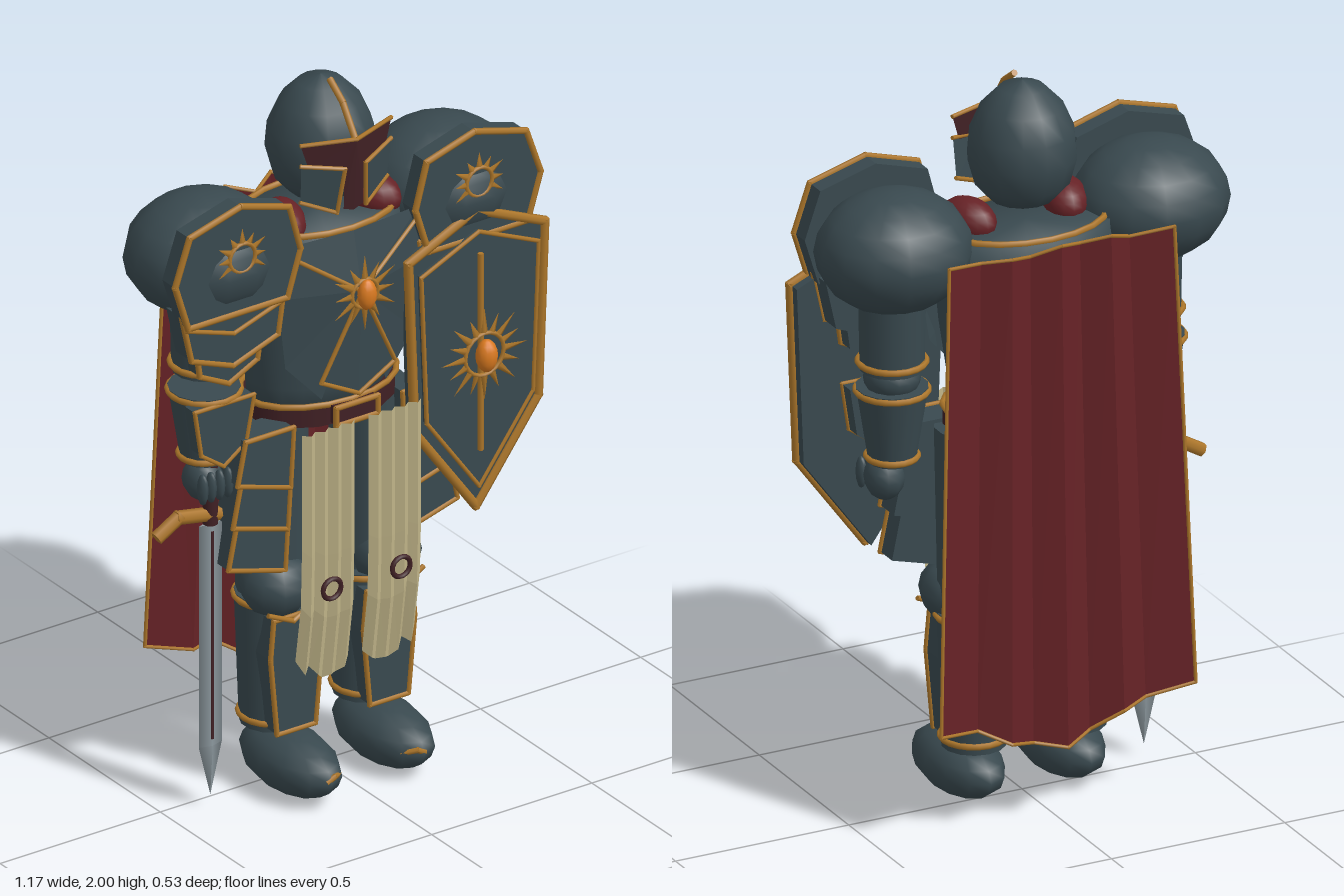
import * as THREE from 'three';

const mat = (name, color, side = THREE.FrontSide) => {
  const m = new THREE.MeshStandardMaterial({ color, side });
  m.name = name;
  return m;
};

export function createModel() {
  const armor = mat('dark armor', 0x39494f, THREE.DoubleSide);
  const gold = mat('gold trim', 0xac762a);
  const amber = mat('amber gem', 0xd9791f);
  const red = mat('red cloth', 0x662226, THREE.DoubleSide);
  const maroon = mat('dark leather', 0x402024, THREE.DoubleSide);
  const cream = mat('cream cloth', 0xc2b68a, THREE.DoubleSide);
  const steel = mat('steel', 0x8d999f);

  const model = new THREE.Group();
  model.name = 'knight';
  const V = (x, y, z) => new THREE.Vector3(x, y, z);

  function add(name, geo, m, p = [0, 0, 0], s = [1, 1, 1], parent = model) {
    const mesh = new THREE.Mesh(geo, m);
    mesh.name = name;
    mesh.position.set(...p);
    mesh.scale.set(...s);
    parent.add(mesh);
    return mesh;
  }
  const ball = (name, m, p, s, w = 14, h = 10) => add(name, new THREE.SphereGeometry(1, w, h), m, p, s);
  const tube = (name, m, p, rTop, rBot, y0, y1, sz = 1) =>
    add(name, new THREE.CylinderGeometry(rTop, rBot, y1 - y0, 14), m, [p[0], (y0 + y1) / 2, p[1]], [1, 1, sz]);
  function hoop(name, p, r, sz = 1, t = 0.009) {
    const g = new THREE.TorusGeometry(r, t, 6, 20);
    g.rotateX(Math.PI / 2);
    return add(name, g, gold, p, [1, 1, sz]);
  }
  // Rod chain through 3D points
  function trim(name, pts, r = 0.008, closed = false, m = gold) {
    const g = new THREE.Group();
    g.name = name;
    const n = closed ? pts.length : pts.length - 1;
    for (let i = 0; i < n; i++) {
      const a = V(...pts[i]), b = V(...pts[(i + 1) % pts.length]);
      const d = b.clone().sub(a);
      const rod = add('rod', new THREE.CylinderGeometry(r, r, d.length() + r, 6), m, a.clone().add(b).multiplyScalar(0.5).toArray(), [1, 1, 1], g);
      rod.quaternion.setFromUnitVectors(V(0, 1, 0), d.normalize());
    }
    model.add(g);
  }
  // Slab with a gold edge on its front
  function plate(name, pts, z0, z1, r = 0.008, m = armor) {
    const shape = new THREE.Shape(pts.map(p => new THREE.Vector2(...p)));
    add(name, new THREE.ExtrudeGeometry(shape, { depth: z1 - z0, bevelEnabled: false }), m, [0, 0, z0]);
    if (r) trim(name + ' trim', pts.map(p => [p[0], p[1], z1]), r, true);
  }
  // Flat fan facet
  function facet(name, pts, m) {
    const v = [];
    for (let i = 1; i < pts.length - 1; i++) v.push(...pts[0], ...pts[i], ...pts[i + 1]);
    const g = new THREE.BufferGeometry();
    g.setAttribute('position', new THREE.Float32BufferAttribute(v, 3));
    g.computeVertexNormals();
    add(name, g, m);
  }
  // Pleated cloth: point(i, t) for column i and height fraction t
  function cloth(name, cols, rows, point, m) {
    const v = [];
    for (let i = 0; i < cols; i++) for (let j = 0; j < rows; j++) {
      const a = point(i, j / rows), b = point(i + 1, j / rows);
      const c = point(i + 1, (j + 1) / rows), d = point(i, (j + 1) / rows);
      v.push(...a, ...d, ...c, ...a, ...c, ...b);
    }
    const g = new THREE.BufferGeometry();
    g.setAttribute('position', new THREE.Float32BufferAttribute(v, 3));
    g.computeVertexNormals();
    add(name, g, m);
  }
  // Sun emblem: ring and pointed rays, optional gem
  function sun(name, x, y, z, ring, outer, n, gem) {
    const g = new THREE.Group();
    g.name = name;
    g.position.set(x, y, z);
    add('ring', new THREE.TorusGeometry(ring, 0.006, 6, 20), gold, [0, 0, 0], [1, 1, 1], g);
    for (let i = 0; i < n; i++) {
      const a = i / n * Math.PI * 2, len = (outer - ring) * (i % 2 ? 0.75 : 1);
      const ray = add('ray', new THREE.ConeGeometry(0.011, len, 4), gold,
        [-Math.sin(a) * (ring + len / 2), Math.cos(a) * (ring + len / 2), 0], [1, 1, 0.5], g);
      ray.rotation.z = a;
    }
    if (gem) add('gem', new THREE.SphereGeometry(1, 12, 8), amber, [0, 0, 0.01], gem, g);
    model.add(g);
  }

  // Helmet
  const helm = [[0, 1.66], [0.085, 1.665], [0.125, 1.71], [0.144, 1.78], [0.138, 1.85], [0.108, 1.92], [0.06, 1.97], [0, 1.99]];
  add('helmet', new THREE.LatheGeometry(helm.map(p => new THREE.Vector2(...p)), 14), armor);
  trim('helmet crest', [[0, 1.99, 0.045], [0, 1.95, 0.1], [0, 1.87, 0.155]], 0.009);
  for (const s of [-1, 1]) {
    facet('visor slit', [[0, 1.865, 0.165], [0, 1.66, 0.15], [s * 0.03, 1.67, 0.148], [s * 0.03, 1.79, 0.152],
      [s * 0.12, 1.80, 0.12], [s * 0.14, 1.865, 0.115]], maroon);
    trim('brow trim', [[0, 1.87, 0.165], [s * 0.14, 1.87, 0.115]], 0.006);
    const cheek = [[s * 0.032, 1.79, 0.158], [s * 0.14, 1.81, 0.115], [s * 0.135, 1.7, 0.105], [s * 0.045, 1.66, 0.14]];
    facet('cheek guard', cheek, armor);
    trim('cheek trim', [cheek[1], cheek[0], cheek[3], cheek[2]], 0.006);
    ball('neck cloth', red, [s * 0.14, 1.615, 0.03], [0.06, 0.06, 0.085]).rotation.y = s * 0.35;
  }

  // Torso
  const body = [[0, 1.06], [0.2, 1.06], [0.205, 1.15], [0.235, 1.35], [0.25, 1.5], [0.24, 1.6], [0, 1.605]];
  add('torso', new THREE.LatheGeometry(body.map(p => new THREE.Vector2(...p)), 20), armor, [0, 0, -0.015], [1, 1, 0.68]);
  hoop('collar trim', [0, 1.605, -0.01], 0.225, 0.69, 0.01);
  hoop('waist trim', [0, 1.11, -0.01], 0.222, 0.69, 0.009);
  tube('belt', maroon, [0, -0.01], 0.222, 0.222, 1.05, 1.105, 0.69);
  plate('buckle', [[-0.065, 1.06], [0.065, 1.06], [0.065, 1.11], [-0.065, 1.11]], 0.14, 0.165, 0.008, maroon);
  for (const s of [-1, 1]) {
    facet('upper breastplate', [[0, 1.44, 0.185], [0, 1.6, 0.15], [s * 0.22, 1.6, 0.13], [s * 0.23, 1.46, 0.14]], armor);
    facet('side breastplate', [[0, 1.44, 0.185], [s * 0.23, 1.46, 0.14], [s * 0.2, 1.25, 0.13], [s * 0.1, 1.14, 0.15]], armor);
    facet('belly plate', [[0, 1.42, 0.185], [s * 0.115, 1.2, 0.165], [0, 1.14, 0.17]], armor);
    trim('chest brace', [[s * 0.2, 1.58, 0.15], [0, 1.44, 0.19], [s * 0.115, 1.2, 0.17], [0, 1.14, 0.175]], 0.006);
  }
  sun('chest sun', 0, 1.44, 0.2, 0.04, 0.11, 12, [0.027, 0.043, 0.022]);

  for (const s of [-1, 1]) {
    const mir = pts => pts.map(([x, ...r]) => [x * s, ...r]);
    // Shoulder
    ball('pauldron', armor, [s * 0.37, 1.588, 0], [0.21, 0.162, 0.195]);
    plate('shoulder plate', mir([[0.18, 1.61], [0.215, 1.74], [0.365, 1.785], [0.525, 1.74], [0.57, 1.61], [0.53, 1.48], [0.22, 1.48]]), 0.11, 0.168, 0.009);
    sun('shoulder sun', s * 0.37, 1.645, 0.182, 0.04, 0.085, 12);
    plate('upper lame', mir([[0.21, 1.5], [0.53, 1.5], [0.5, 1.365], [0.37, 1.315], [0.23, 1.365]]), 0.07, 0.14);
    trim('lame ridge', mir([[0.22, 1.46, 0.145], [0.37, 1.41, 0.145], [0.52, 1.46, 0.145]]), 0.006);
    plate('lower lame', mir([[0.27, 1.37], [0.47, 1.37], [0.46, 1.3], [0.37, 1.255], [0.28, 1.3]]), 0.07, 0.12);

    // Arm
    tube('upper arm', armor, [s * 0.37, 0.01], 0.09, 0.085, 1.255, 1.5);
    hoop('upper arm trim', [s * 0.37, 1.275, 0.01], 0.088);
    if (s > 0) ball('elbow', armor, [0.37, 1.23, 0.01], [0.075, 0.06, 0.075]);
    tube('forearm', armor, [s * 0.37, 0.01], 0.095, 0.062, 0.995, 1.205);
    hoop('cuff trim', [s * 0.37, 1.195, 0.01], 0.094);
    hoop('wrist trim', [s * 0.37, 1.01, 0.01], 0.066);
    plate('gauntlet plate', mir([[0.28, 1.19], [0.465, 1.19], [0.445, 1.06], [0.375, 1.01], [0.305, 1.06]]), 0.06, 0.105, 0.006);
    ball('fist', armor, [s * 0.385, 0.945, 0.025], [0.052, 0.06, 0.06], 10, 8);
    for (let i = 0; i < 4; i++)
      ball('finger', armor, [s * (0.345 + i * 0.026), 0.945, 0.08], [0.014, 0.045, 0.018], 8, 6);

    // Tassets
    for (let i = 2; i >= 0; i--) {
      const y = 1.07 - i * 0.125, o = i * 0.006;
      plate('tasset', mir([[0.17, y], [0.32 + o, y], [0.345 + o, y - 0.12], [0.18, y - 0.17]]), 0.035, 0.125 - i * 0.012, 0.007);
    }

    // Leg
    tube('thigh', armor, [s * 0.15, -0.01], 0.1, 0.09, 0.55, 1.06);
    ball('knee guard', armor, [s * 0.17, 0.585, 0.045], [0.097, 0.088, 0.092], 10, 8);
    trim('knee trim', mir([[0.1, 0.54, 0.115], [0.17, 0.51, 0.125], [0.24, 0.54, 0.115]]), 0.007);
    tube('greave', armor, [s * 0.145, -0.01], 0.098, 0.085, 0.165, 0.54);
    hoop('greave top trim', [s * 0.145, 0.53, -0.01], 0.098);
    hoop('ankle trim', [s * 0.145, 0.19, -0.01], 0.086);
    plate('shin plate', mir([[0.075, 0.51], [0.215, 0.51], [0.225, 0.4], [0.205, 0.18], [0.085, 0.18], [0.065, 0.4]]), 0.03, 0.1, 0.007);
    ball('boot', armor, [s * 0.145, 0.085, 0.075], [0.1, 0.083, 0.185], 12, 8);
    trim('toe trim', mir([[0.1, 0.09, 0.225], [0.13, 0.1, 0.25], [0.15, 0.09, 0.25]]), 0.008);

    // Tabard strip with pleats, ragged hem and ring mark
    const ragged = [0.38, 0.36, 0.345, 0.35, 0.34, 0.36, 0.385, 0.37, 0.41];
    cloth('tabard', 8, 4, (i, t) => [s * (0.022 + i * 0.0205), 1.075 + (ragged[i] - 1.075) * t,
      0.185 + (i % 2) * 0.016 - 0.03 * Math.max(0, t - 0.7) / 0.3], cream);
    add('tabard ring', new THREE.TorusGeometry(0.028, 0.007, 6, 18), maroon, [s * 0.108, 0.62, 0.208]);
  }

  // Cape with pleats and a thin gold edge
  const capeX = [-1, -0.66, -0.44, -0.22, 0, 0.22, 0.44, 0.66, 1];
  const hem = [0.33, 0.3, 0.29, 0.24, 0.22, 0.235, 0.26, 0.3, 0.32];
  const top = [1.6, 1.58, 1.61, 1.59, 1.61, 1.58, 1.6, 1.59, 1.61];
  const cape = (i, t) => [capeX[i] * (0.325 + 0.042 * t), top[i] + (hem[i] - top[i]) * t, -0.185 - 0.037 * t - (i % 2 ? 0 : 0.038)];
  cloth('cape', 8, 1, cape, red);
  const edge = t => capeX.map((_, i) => cape(i, t));
  trim('cape edge', [...edge(0), ...edge(1).reverse()], 0.005, true);

  // Sword
  const blade = new THREE.CylinderGeometry(0.036, 0.036, 0.64, 4);
  add('sword blade', blade, steel, [-0.375, 0.5, 0.045], [1, 1, 0.3]);
  add('sword point', new THREE.ConeGeometry(0.036, 0.145, 4).rotateX(Math.PI), steel, [-0.375, 0.1075, 0.045], [1, 1, 0.3]);
  add('blade fuller', new THREE.BoxGeometry(0.008, 0.6, 0.024), maroon, [-0.375, 0.5, 0.045]);
  tube('sword grip', maroon, [-0.375, 0.045], 0.02, 0.02, 0.82, 1.0);
  trim('sword guard', [[-0.535, 0.83, 0.045], [-0.475, 0.865, 0.045], [-0.34, 0.84, 0.045]], 0.019);

  // Shield with outer and inner borders, bevelled toward the front
  const cx = 0.365, cy = 1.16;
  const outline = [[cx, 1.56], [0.58, 1.465], [0.56, 0.97], [cx, 0.705], [0.175, 0.97], [0.155, 1.465]];
  const inset = k => outline.map(([x, y]) => [cx + (x - cx) * k, cy + (y - cy) * k]);
  plate('shield', outline, 0.135, 0.172, 0.013);
  plate('shield face', inset(0.86), 0.17, 0.188, 0.006);
  trim('shield rod', [[cx, 1.44, 0.195], [cx, 0.88, 0.195]], 0.008);
  sun('shield sun', cx, cy, 0.212, 0.06, 0.135, 16, [0.03, 0.046, 0.028]);

  return model;
}
